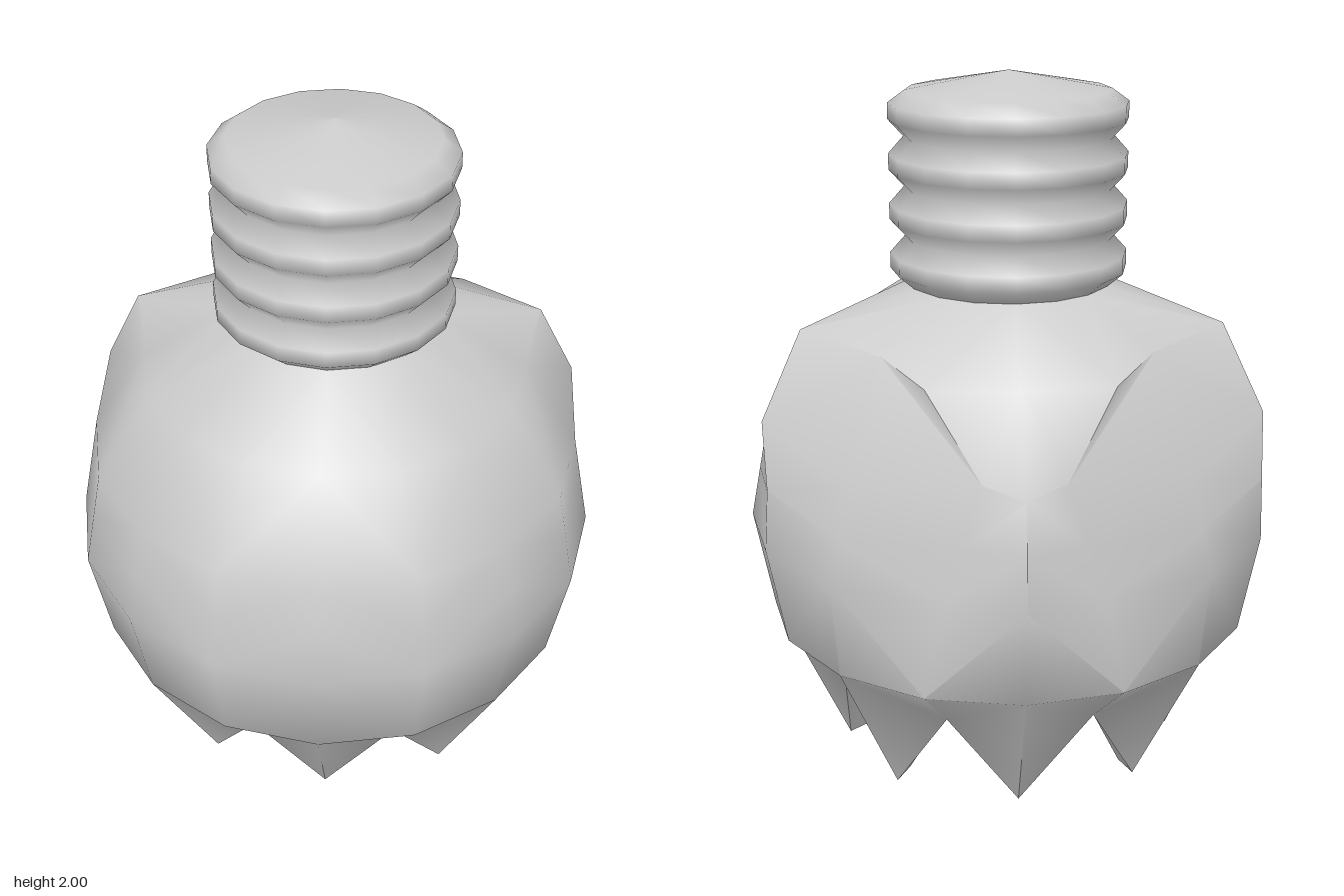
import * as THREE from 'three';
import { toCreasedNormals } from 'three/addons/utils/BufferGeometryUtils.js';

const SIDES = 16;
// Body rings from neck to hem: [radius, height]
const RINGS = [[0.285, 1.42], [0.535, 1.255], [0.695, 1.01], [0.722, 0.87], [0.75, 0.725], [0.695, 0.44]];
const HEM = RINGS.length;
// Flat-sided shoulder flaps at the back: "ring,column" -> position (mirrored in x)
const FLAPS = {
  '1,5': [0.58, 1.33, -0.185], '1,6': [0.36, 1.305, -0.38], '1,7': [0.25, 1.25, -0.5],
  '2,5': [0.69, 1.09, -0.25], '2,6': [0.46, 0.98, -0.48], '2,7': [0.11, 1.04, -0.65],
  '3,5': [0.677, 0.92, -0.335], '3,6': [0.485, 0.84, -0.505], '3,7': [0.16, 0.87, -0.655],
  '4,6': [0.51, 0.725, -0.53], '4,7': [0.21, 0.725, -0.665],
};

function outerPoint(ring, column) {
  const a = (column / SIDES) * Math.PI * 2;
  const flap = FLAPS[`${ring},${column > 8 ? SIDES - column : column}`];
  if (flap) return new THREE.Vector3(column > 8 ? -flap[0] : flap[0], flap[1], flap[2]);
  if (ring < HEM) {
    const [r, y] = RINGS[ring];
    return new THREE.Vector3(Math.sin(a) * r, y, Math.cos(a) * r);
  }
  // Jagged hem: tips on even columns, notches on odd ones
  if (column % 2) return new THREE.Vector3(Math.sin(a) * 0.53, 0.295, Math.cos(a) * 0.53);
  return new THREE.Vector3(Math.sin(a) * 0.485, 0, Math.cos(a) * 0.425);
}

// The lining follows the outside, a wall thickness further in
function innerPoint(ring, column) {
  if (ring < 0) return new THREE.Vector3(0, 1.37, 0);
  const p = outerPoint(ring, column);
  const k = 1 - 0.05 / Math.hypot(p.x, p.z);
  const lift = ring === HEM ? 0.025 : ring < 2 ? -0.045 : 0;
  return new THREE.Vector3(p.x * k, p.y + lift, p.z * k);
}

// Closed band of quads; diagonals alternate so the teeth are symmetrical
function band(rows, inward = false) {
  const positions = rows.flatMap((row) => row.flatMap((p) => p.toArray()));
  const index = [];
  for (let j = 0; j < rows.length - 1; j++) {
    for (let i = 0; i < SIDES; i++) {
      const n = (i + 1) % SIDES;
      const a = j * SIDES + i, b = j * SIDES + n, c = a + SIDES, d = b + SIDES;
      const tris = i % 2 ? [[a, c, b], [b, c, d]] : [[a, c, d], [a, d, b]];
      for (const [u, v, w] of tris) index.push(...(inward ? [u, w, v] : [u, v, w]));
    }
  }
  const geometry = new THREE.BufferGeometry();
  geometry.setAttribute('position', new THREE.Float32BufferAttribute(positions, 3));
  geometry.setIndex(index);
  return toCreasedNormals(geometry, 0.75);
}

const row = (fn, ring) => Array.from({ length: SIDES }, (_, i) => fn(ring, i));

export function createModel() {
  const group = new THREE.Group();
  const material = new THREE.MeshStandardMaterial({ color: 0xcccccc });
  const add = (name, geometry) => {
    const mesh = new THREE.Mesh(geometry, material);
    mesh.name = name;
    group.add(mesh);
  };

  // Broken glass shell: outside, lining and the cut edge between them
  const rings = [...RINGS.keys(), HEM];
  add('glassOutside', band(rings.map((r) => row(outerPoint, r))));
  add('glassLining', band([-1, ...rings].map((r) => row(innerPoint, r)), true));
  add('brokenEdge', band([row(outerPoint, HEM), row(innerPoint, HEM)]));

  // Threaded neck with four ridges and a shallow conical cap
  const profile = [[0.285, 1.415]];
  for (let k = 0; k < 4; k++) {
    const y = 1.455 + k * 0.138;
    profile.push([0.332, y], [0.332, y + 0.045]);
    if (k < 3) profile.push([0.29, y + 0.092]);
  }
  profile.push([0.285, 1.948], [0, 2]);
  add('threadedNeck', new THREE.LatheGeometry(profile.map(([x, y]) => new THREE.Vector2(x, y)), SIDES));

  return group;
}
